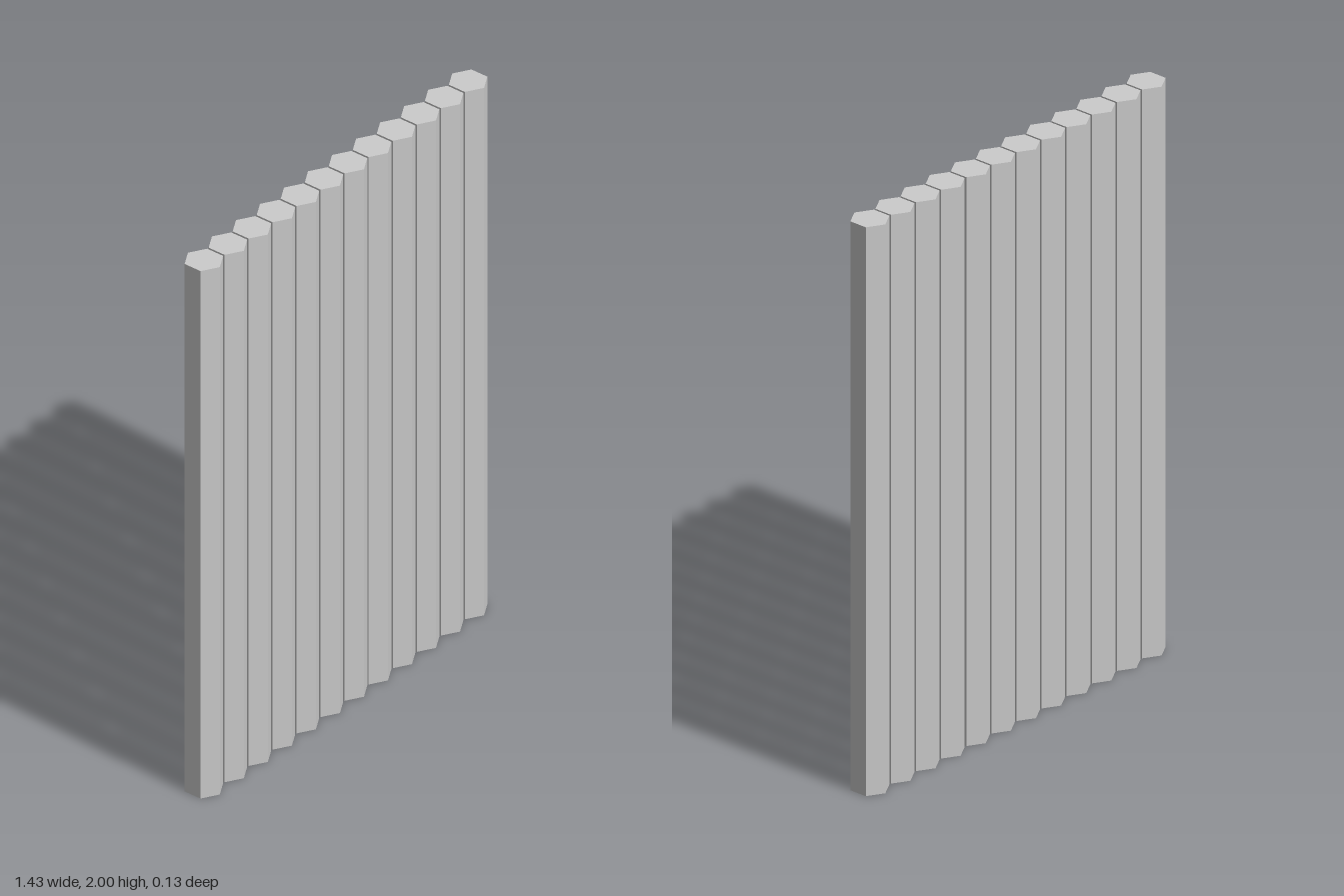
import * as THREE from 'three';

const COUNT = 12, PITCH = 0.12, RADIUS = 0.065, HEIGHT = 2;

export function createModel() {
  const model = new THREE.Group();
  model.name = 'hexagonalPostWall';

  const grey = new THREE.MeshStandardMaterial({ color: 0xcccccc, flatShading: true });
  grey.name = 'light grey';

  // Hexagonal post with corners pointing to the front and back
  const postGeometry = new THREE.CylinderGeometry(RADIUS, RADIUS, HEIGHT, 6);
  postGeometry.translate(0, HEIGHT / 2, 0);

  // Row of posts with narrow gaps between them
  for (let i = 0; i < COUNT; i++) {
    const post = new THREE.Mesh(postGeometry, grey);
    post.name = `post${i + 1}`;
    post.position.x = (i - (COUNT - 1) / 2) * PITCH;
    model.add(post);
  }
  return model;
}
